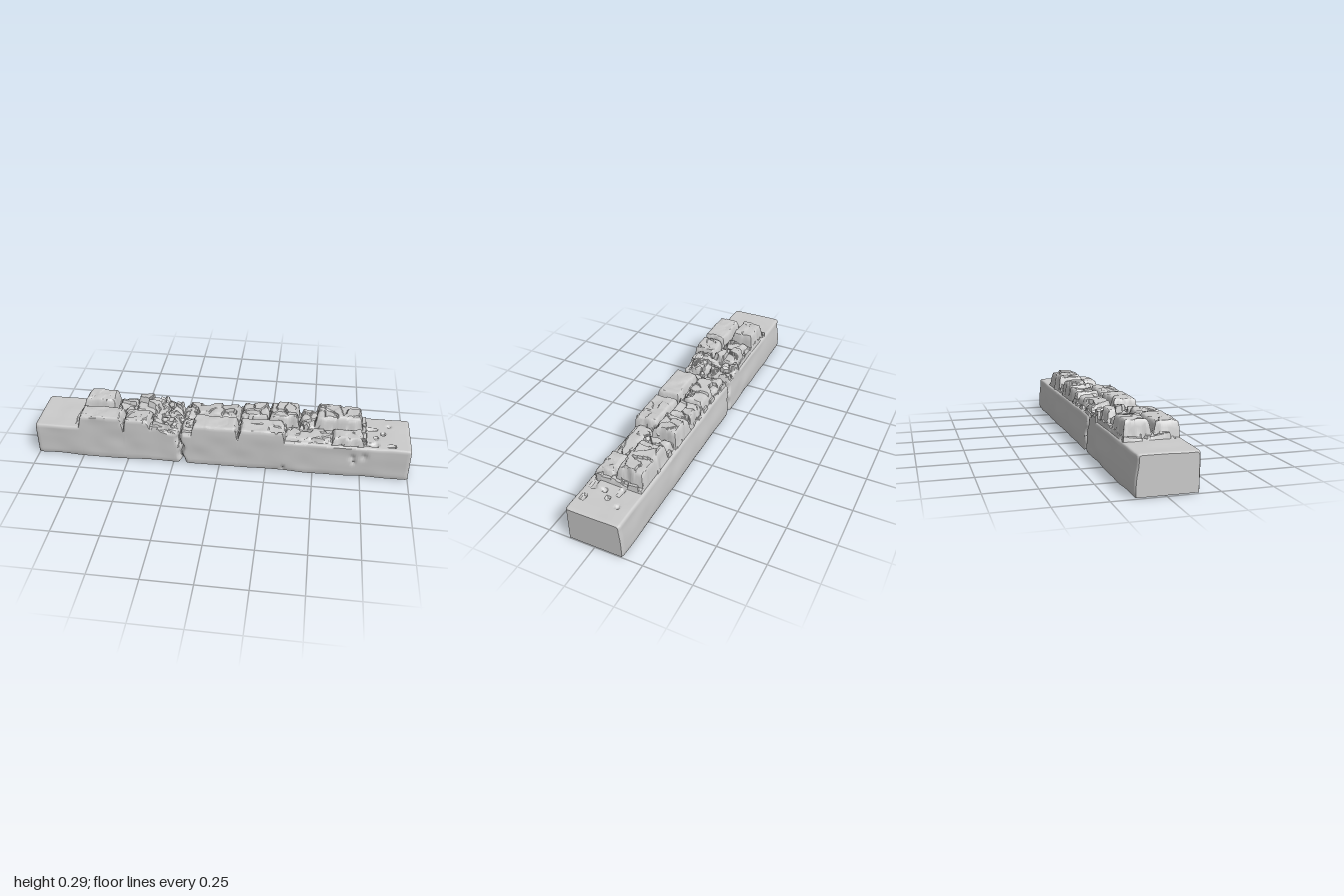
import * as THREE from 'three';
import { toCreasedNormals } from 'three/addons/utils/BufferGeometryUtils.js';

const { clamp, lerp, smoothstep } = THREE.MathUtils;
const hash = (i, j) => {
  const s = Math.sin(i * 127.1 + j * 311.7) * 43758.5453;
  return s - Math.floor(s);
};
// smooth value noise in -1..1
function noise(x, y) {
  const i = Math.floor(x), j = Math.floor(y);
  const u = smoothstep(x - i, 0, 1), v = smoothstep(y - j, 0, 1);
  return 2 * lerp(lerp(hash(i, j), hash(i + 1, j), u), lerp(hash(i, j + 1), hash(i + 1, j + 1), u), v) - 1;
}

// broken surface: every cell is a tilted facet of its own height (0..1)
function facets(x, z, size) {
  const px = x / size, pz = z / size, ci = Math.floor(px), cj = Math.floor(pz);
  let best = 9, value = 0;
  for (let i = ci - 1; i <= ci + 1; i++) for (let j = cj - 1; j <= cj + 1; j++) {
    const dx = px - i - hash(i, j), dz = pz - j - hash(j + 40, i + 9);
    const d = dx * dx + dz * dz;
    if (d < best) {
      best = d;
      value = hash(i + 17, j + 5) + 0.5 * dx * (hash(i, j + 71) - 0.5) + 0.5 * dz * (hash(i + 33, j) - 0.5);
    }
  }
  return clamp(value, 0, 1);
}

// course stones: x0, x1, z0, z1, top height, roughness
const STONES = [
  [-0.755, -0.518, 0.03, 0.3, 0.275, 0.1],
  [-0.512, -0.37, 0.03, 0.3, 0.272, 0.2],
  [-0.38, -0.32, 0.03, 0.3, 0.25, 0.6],
  [-0.145, 0.093, 0.025, 0.3, 0.262, 0.05],
  [0.103, 0.34, 0.02, 0.3, 0.26, 0.15],
  [0.345, 0.58, 0.045, 0.128, 0.222, 0.1],
  [0.59, 0.75, 0.035, 0.132, 0.247, 0.2],
  [-0.755, -0.585, -0.12, 0.01, 0.292, 0.2],
  [-0.575, -0.47, -0.1, 0.02, 0.265, 0.7],
  [-0.47, -0.33, -0.115, 0.025, 0.282, 0.7],
  [-0.19, 0.09, -0.112, 0.01, 0.26, 0.8],
  [0.1, 0.25, -0.12, 0.015, 0.27, 0.7],
  [0.25, 0.41, -0.122, 0.015, 0.29, 0.5],
  [0.42, 0.51, -0.11, 0.03, 0.255, 0.6],
  [0.5, 0.745, -0.125, 0.025, 0.293, 0.3],
];

// height of the upper surface
function topHeight(x, z) {
  let h = 0.197 + 0.002 * noise(x * 12, z * 12);
  const wx = x + 0.006 * noise(x * 30, z * 30), wz = z + 0.006 * noise(z * 30 + 8, x * 30);
  // rubble in the middle of the course
  if (x > -0.78 && x < 0.77 && z > -0.125 && z < 0.12) h += 0.03 * facets(wx, wz, 0.045);
  if (x > -0.36 && x < -0.18) h += 0.04 * smoothstep(-x, 0.18, 0.36) * facets(wx, wz, 0.04);
  for (const [x0, x1, z0, z1, top, rough] of STONES) {
    const d = Math.min(wx - x0, x1 - wx, wz - z0, z1 - wz);
    if (d <= 0) continue;
    const t = Math.min(1, d / 0.018);
    const crown = top - 0.05 * rough * facets(wx + 3, wz, 0.06) + 0.003 * noise(x * 25, z * 25);
    h = Math.max(h, lerp(0.197, crown, Math.sqrt(1 - (1 - t) ** 2)));
  }
  // pits in the worn right shoulder
  if (x > 0.77 && x < 0.92) h -= 0.012 * smoothstep(noise(x * 28, z * 28), 0.3, 0.7);
  return h;
}

// strength of the vertical crack (0..1)
function crack(x, y) {
  const line = -0.203 - 0.18 * Math.max(0, y - 0.1) + 0.006 * Math.sin(y * 70);
  return Math.exp(-(((x - line) / (0.011 + 0.05 * Math.max(0, 0.06 - y))) ** 2));
}

// wall faces, side = 1 front, -1 back
function wallZ(x, y, side) {
  const base = side > 0
    ? 0.147 - 0.004 * x - 0.02 * Math.max(0, y - 0.2)
    : 0.15 + 0.004 * x - 0.014 * smoothstep(y, 0.06, 0.2) - 0.05 * Math.max(0, y - 0.19);
  const worn = 0.003 * noise(x * 9 + side * 20, y * 14);
  const lowEdge = 0.006 * smoothstep(0.03 - y, 0, 0.025);
  let pit = 0;
  if (side > 0) for (const [px, py, r] of [[0.7, 0.13, 0.02], [0.76, 0.14, 0.025], [0.71, 0.1, 0.014], [0.34, 0.03, 0.015], [-0.52, 0.24, 0.012]])
    pit += 0.012 * Math.exp(-((x - px) ** 2 + (y - py) ** 2) / (r * r * 0.5));
  const corner = 0.008 * Math.max(0, (Math.abs(x) - 0.985) / 0.015) ** 2;
  return side * (base + worn - lowEdge - pit - corner - 0.035 * crack(x, y));
}

// one open-bottomed cross-section: front wall, top, back wall
const WALL = 14, TOP = 64;
function section(x, collapsed) {
  const points = [];
  const bottom = 0.01 + 0.005 * noise(x * 8, 3) + 0.02 * crack(x, 0.01);
  const edge = (side) => {
    const z = wallZ(x, 0.2, side);
    return topHeight(x, z) - 0.008 - 0.02 * crack(x, 0.2);
  };
  const yf = edge(1), yb = edge(-1);
  for (let k = 0; k < WALL; k++) {
    const y = lerp(bottom, yf, k / WALL);
    points.push([x, y, wallZ(x, y, 1)]);
  }
  const zf = wallZ(x, yf, 1), zb = wallZ(x, yb, -1);
  for (let k = 0; k <= TOP; k++) {
    const z = lerp(zf, zb, k / TOP);
    const e = clamp(Math.min(zf - z, z - zb) / 0.012, 0, 1);
    const round = 0.008 * (1 - Math.sqrt(1 - (1 - e) ** 2));
    const end = 0.006 * Math.max(0, (Math.abs(x) - 0.988) / 0.012) ** 2;
    points.push([x, topHeight(x, z) - round - end - 0.03 * crack(x, 0.19), z]);
  }
  for (let k = WALL - 1; k >= 0; k--) {
    const y = lerp(bottom, yb, k / WALL);
    points.push([x, y, wallZ(x, y, -1)]);
  }
  // the end walls come from a section folded down to the bottom edge
  if (collapsed) for (const p of points) p[1] = bottom;
  return points;
}

// skin a row of sections
function skin(rows) {
  const n = rows[0].length, index = [];
  for (let i = 0; i < rows.length - 1; i++) for (let j = 0; j < n - 1; j++) {
    const a = i * n + j, b = a + n;
    index.push(a, b, b + 1, a, b + 1, a + 1);
  }
  const g = new THREE.BufferGeometry();
  g.setAttribute('position', new THREE.Float32BufferAttribute(rows.flat(2), 3));
  g.setIndex(index);
  return toCreasedNormals(g, 0.7);
}

export function createModel() {
  const group = new THREE.Group();
  group.name = 'ruinedWall';
  const material = new THREE.MeshStandardMaterial({ color: 0xcccccc, side: THREE.DoubleSide });

  // wall base with its broken course of stones
  const STEPS = 360, rows = [section(-1, true)];
  for (let i = 0; i <= STEPS; i++) rows.push(section(-1 + (2 * i) / STEPS, false));
  rows.push(section(1, true));
  const wall = new THREE.Mesh(skin(rows), material);
  wall.name = 'wallBase';
  group.add(wall);

  // loose chunks lying in the gaps: x, y, z, size
  const chunks = [
    [-0.3, 0.222, 0.06, 0.026], [-0.27, 0.212, -0.02, 0.028], [-0.25, 0.21, 0.1, 0.02], [-0.29, 0.225, -0.08, 0.03],
    [-0.22, 0.205, 0.03, 0.02], [-0.17, 0.21, 0.07, 0.022], [0.39, 0.24, -0.02, 0.022], [0.45, 0.225, 0.02, 0.024],
  ];
  chunks.forEach(([x, y, z, s], i) => {
    const chunk = new THREE.Mesh(toCreasedNormals(new THREE.DodecahedronGeometry(s), 0.3), material);
    chunk.name = 'looseChunk';
    chunk.position.set(x, y, z);
    chunk.rotation.set(i * 1.3, i * 2.1, i * 0.7);
    chunk.scale.set(1.2, 0.75, 0.9);
    group.add(chunk);
  });
  return group;
}
